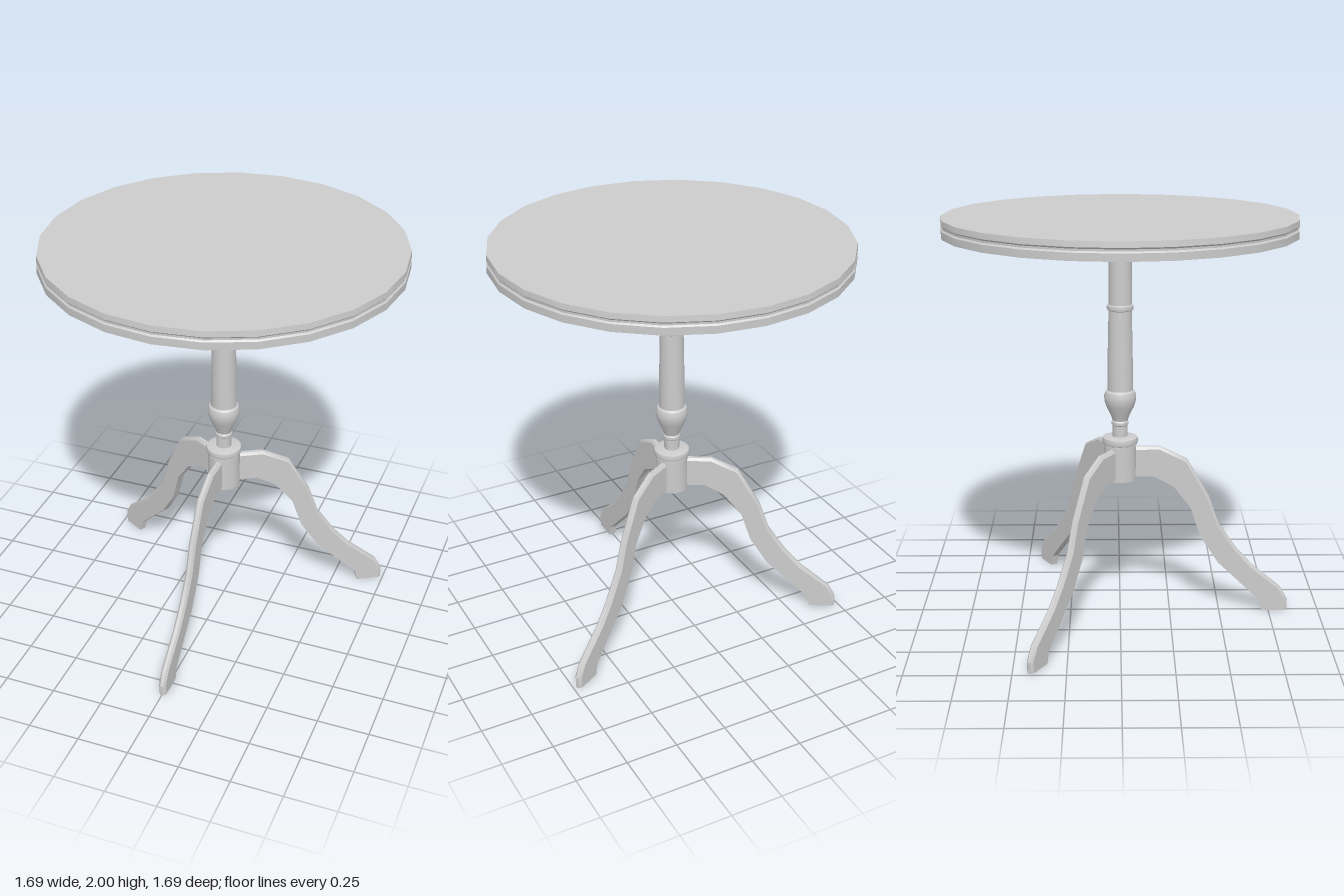
import * as THREE from 'three';
import { toCreasedNormals } from 'three/addons/utils/BufferGeometryUtils.js';

const material = new THREE.MeshStandardMaterial({ color: 0xcccccc });

function addMesh(parent, name, geometry, crease = 0.6) {
  const mesh = new THREE.Mesh(toCreasedNormals(geometry, crease), material);
  mesh.name = name;
  parent.add(mesh);
  return mesh;
}

// Turned part from [radius, height] pairs, listed bottom to top
function turned(profile, sides = 24) {
  return new THREE.LatheGeometry(profile.map(([r, y]) => new THREE.Vector2(r, y)), sides);
}

// Curved leg running out along +z: paired upper and lower edge points [reach, height]
const UPPER = [[0.04, 0.865], [0.196, 0.865], [0.33, 0.8], [0.44, 0.61], [0.49, 0.467],
  [0.58, 0.335], [0.66, 0.245], [0.81, 0.12], [0.845, 0.055], [0.845, 0]];
const LOWER = [[0.04, 0.715], [0.165, 0.715], [0.265, 0.66], [0.35, 0.55], [0.4, 0.4],
  [0.49, 0.26], [0.6, 0.155], [0.665, 0.092], [0.702, 0.055], [0.715, 0]];

function legGeometry() {
  const half = 0.018, ridge = 0.008, bevel = 0.013;
  const positions = [], indices = [], n = 6;
  UPPER.forEach(([uz, uy], i) => {
    const [lz, ly] = LOWER[i];
    const t = 1 - bevel / Math.hypot(uz - lz, uy - ly);
    // Six-sided section: flat below, chamfered along the upper edge
    const section = [[-half, 0], [half, 0], [half, t], [ridge, 1], [-ridge, 1], [-half, t]];
    for (const [x, s] of section) positions.push(x, ly + (uy - ly) * s, lz + (uz - lz) * s);
    if (i === 0) return;
    for (let k = 0; k < n; k++) {
      const a = (i - 1) * n + k, b = (i - 1) * n + (k + 1) % n;
      indices.push(a, b, b + n, a, b + n, a + n);
    }
  });
  // Sole of the foot
  const last = (UPPER.length - 1) * n;
  for (let k = 1; k < n - 1; k++) indices.push(last, last + k, last + k + 1);
  const geometry = new THREE.BufferGeometry();
  geometry.setAttribute('position', new THREE.Float32BufferAttribute(positions, 3));
  geometry.setIndex(indices);
  return geometry;
}

export function createModel() {
  const table = new THREE.Group();
  table.name = 'pedestalTable';

  // Round top with a shallow groove in its edge
  addMesh(table, 'tableTop', turned([
    [0, 1.915], [0.845, 1.915], [0.845, 1.95], [0.838, 1.957], [0.838, 1.966],
    [0.845, 1.973], [0.842, 2], [0, 2],
  ]));

  // Turned column with a ring, a vase-shaped bulb and a narrow neck
  addMesh(table, 'column', turned([
    [0.037, 0.9], [0.037, 0.975], [0.042, 0.98], [0.042, 0.993], [0.037, 1.0],
    [0.046, 1.025], [0.068, 1.07], [0.077, 1.1], [0.078, 1.125], [0.072, 1.145],
    [0.062, 1.153], [0.061, 1.3], [0.056, 1.545], [0.063, 1.549], [0.065, 1.56],
    [0.063, 1.571], [0.056, 1.575], [0.055, 1.75], [0.055, 1.92],
  ]));

  // Collar above the hub
  addMesh(table, 'collar', turned([
    [0, 0.865], [0.075, 0.865], [0.076, 0.88], [0.085, 0.884], [0.089, 0.9],
    [0.085, 0.915], [0.07, 0.92], [0, 0.92],
  ]));

  // Hub that holds the legs
  addMesh(table, 'hub', turned([[0, 0.7], [0.079, 0.7], [0.079, 0.875], [0, 0.875]]));

  // Three splayed legs, one facing forward
  const leg = legGeometry();
  ['frontLeg', 'backLeftLeg', 'backRightLeg'].forEach((name, i) => {
    addMesh(table, name, leg, 0.45).rotation.y = i * Math.PI * 2 / 3;
  });

  return table;
}
